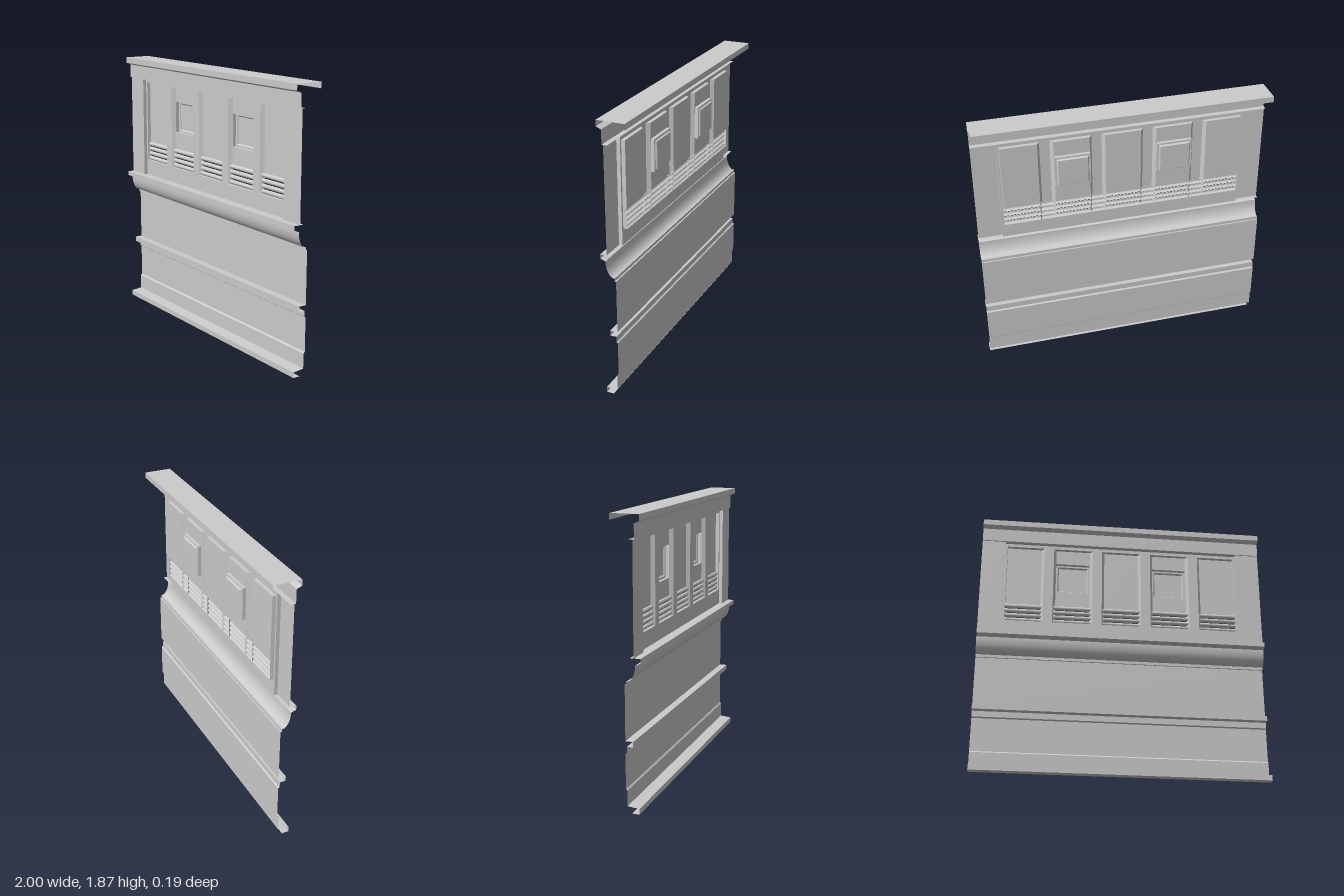
import * as THREE from 'three';

const mat = new THREE.MeshStandardMaterial({ color: 0xcccccc, side: THREE.DoubleSide });

// Sheet drawn between two matching rows of points
function loft(name, a, b, smooth = false) {
  const index = [];
  for (let i = 0; i < a.length - 1; i++) {
    const j = i + a.length;
    index.push(i, j, i + 1, i + 1, j, j + 1);
  }
  let geo = new THREE.BufferGeometry();
  geo.setAttribute('position', new THREE.Float32BufferAttribute([...a, ...b].flat(), 3));
  geo.setIndex(index);
  if (!smooth) geo = geo.toNonIndexed();
  geo.computeVertexNormals();
  const mesh = new THREE.Mesh(geo, mat);
  mesh.name = name;
  return mesh;
}

// Profile of [z, y] points swept along x
const sweep = (name, profile, x0 = -1, x1 = 1, smooth = false) =>
  loft(name, profile.map(([z, y]) => [x0, y, z]), profile.map(([z, y]) => [x1, y, z]), smooth);

// Rectangles are [x0, x1, y0, y1]
const ring = ([x0, x1, y0, y1], z) =>
  [[x0, y0, z], [x1, y0, z], [x1, y1, z], [x0, y1, z], [x0, y0, z]];
const reveal = (name, r0, z0, r1, z1) => loft(name, ring(r0, z0), ring(r1, z1));

function plate(name, rect, z, holes = []) {
  const path = (r, T) => new T(ring(r, 0).slice(0, 4).map(([x, y]) => new THREE.Vector2(x, y)));
  const shape = path(rect, THREE.Shape);
  shape.holes = holes.map((h) => path(h, THREE.Path));
  const mesh = new THREE.Mesh(new THREE.ShapeGeometry(shape), mat);
  mesh.position.z = z;
  mesh.name = name;
  return mesh;
}

export function createModel() {
  const model = new THREE.Group();
  const wall = 0.05, recess = 0.025, lower = -0.01;

  // Cornice with a lip at front and back, and the fascia under it
  model.add(sweep('cornice', [
    [-0.095, 1.83], [-0.095, 1.87], [0.095, 1.87], [0.095, 1.83],
    [0.06, 1.815], [0.06, 1.72], [wall, 1.72], [recess, 1.72],
  ]));

  // Side piers and the sides of the large recess
  for (const s of [-1, 1]) {
    const x0 = Math.min(s * 0.835, s), x1 = Math.max(s * 0.835, s);
    model.add(plate('pier', [x0, x1, 1.0, 1.72], wall));
    model.add(loft('pierReturn',
      [[s * 0.835, 1.0, wall], [s * 0.835, 1.72, wall]],
      [[s * 0.835, 1.0, recess], [s * 0.835, 1.72, recess]]));
  }

  // Sill and the rounded moulding below it
  model.add(sweep('sill', [[recess, 1.0], [0.095, 1.0], [0.095, 0.97], [0.06, 0.957]]));
  const round = [];
  for (let i = 0; i <= 12; i++) {
    const t = (i / 12) * Math.PI / 2;
    round.push([0.06 * Math.cos(t), 0.957 - 0.107 * Math.sin(t)]);
  }
  model.add(sweep('roundedMoulding', round, -1, 1, true));

  // Lower wall with middle ledge and base moulding
  model.add(sweep('lowerWall', [
    [0, 0.85], [0, 0.83], [lower, 0.83], [lower, 0.47],
    [0.042, 0.47], [0.042, 0.435], [0, 0.435], [0, 0.395], [lower, 0.388],
    [lower, 0.157], [0, 0.147], [0, 0.045],
    [0.08, 0.037], [0.08, 0], [0.03, 0],
  ]));

  // Recessed panels: [outer x0, outer x1, inner x0, inner x1]
  const spans = [
    [-0.82, -0.555, -0.818, -0.573],
    [-0.487, -0.208, -0.468, -0.226],
    [-0.14, 0.14, -0.122, 0.122],
    [0.208, 0.487, 0.226, 0.468],
    [0.555, 0.82, 0.573, 0.818],
  ];
  const bottom = 1.11, top = 1.697;
  model.add(plate('panelFrame', [-0.835, 0.835, 1.0, 1.72], recess,
    spans.map(([a, b]) => [a, b, bottom, top])));

  spans.forEach(([a, b, c, d], i) => {
    const hasWindow = i % 2 === 1;
    const outer = [c + 0.001, d - 0.001, 1.367, 1.59];
    model.add(reveal('panelReveal', [a, b, bottom, top], recess, [c, d, bottom, top], 0));
    model.add(plate('backPanel', [c, d, 1.245, top], 0, hasWindow ? [outer] : []));
    if (!hasWindow) return;

    // Window: stepped tray sunk into the panel
    const inset = (r, k) => [r[0] + k, r[1] - k, r[2] + k, r[3] - k];
    const mid = inset(outer, 0.012), inner = inset(outer, 0.02);
    const windowTray = new THREE.Group();
    windowTray.name = 'window';
    windowTray.add(
      reveal('windowSides', outer, 0, outer, -0.024),
      plate('windowFrame', outer, -0.024, [mid]),
      reveal('windowBevel', mid, -0.024, inner, -0.035),
      plate('windowPane', inner, -0.035),
    );
    model.add(windowTray);
  });

  // Half-round slats running behind the posts
  for (let k = 0; k < 4; k++) {
    const y = 1.232 - k * 0.0355, slat = [];
    for (let i = 0; i <= 8; i++) {
      const t = (i / 8) * Math.PI;
      slat.push([0.016 * Math.sin(t), y + 0.015 * Math.cos(t)]);
    }
    model.add(sweep('slat', slat, -0.82, 0.82, true));
  }
  return model;
}
